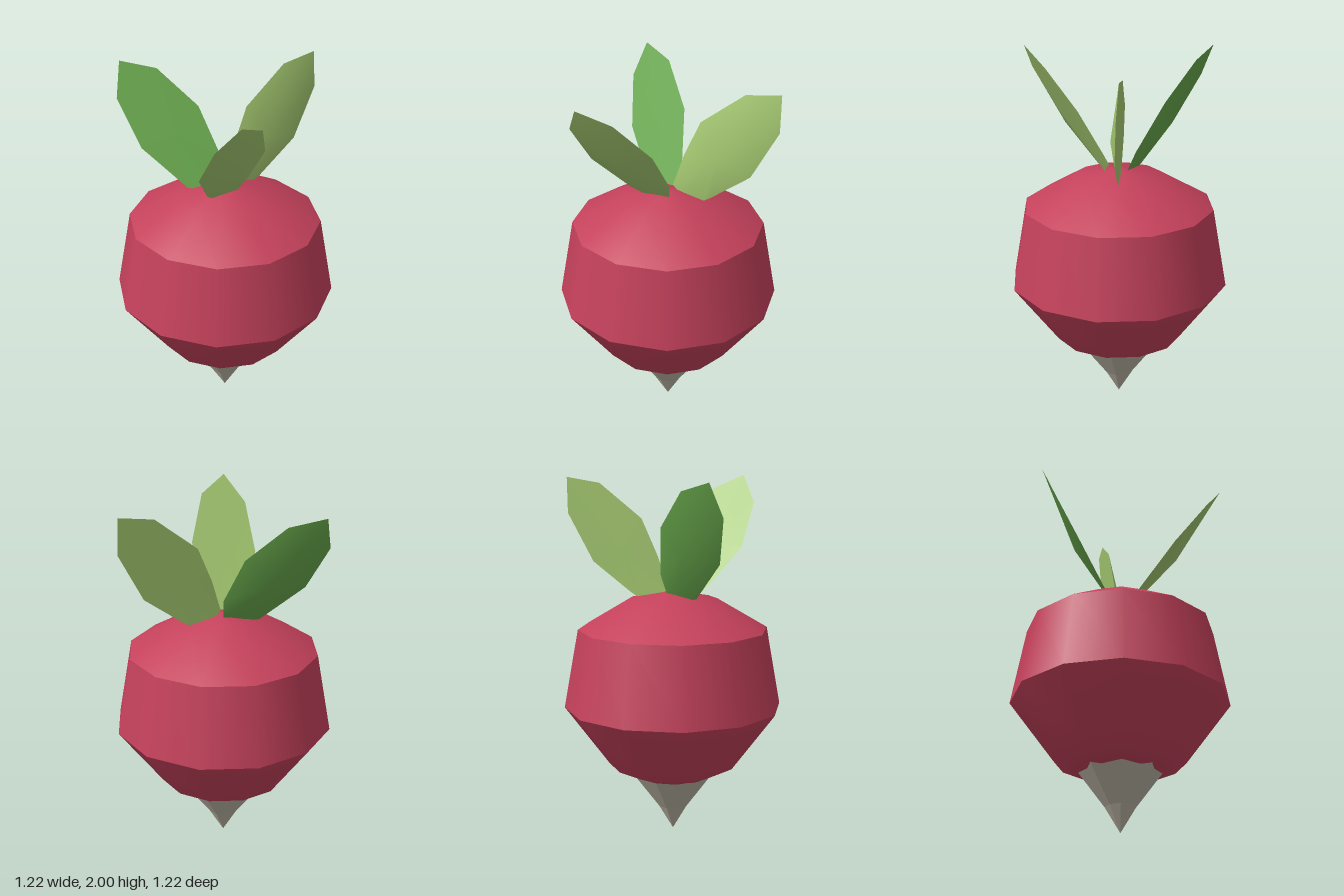
import * as THREE from 'three';

const mat = (name, color) => {
  const m = new THREE.MeshStandardMaterial({ color });
  m.name = name;
  return m;
};

const add = (group, name, geometry, material) => {
  const mesh = new THREE.Mesh(geometry, material);
  mesh.name = name;
  group.add(mesh);
};

const lathe = (profile, sides) =>
  new THREE.LatheGeometry(profile.map(([r, y]) => new THREE.Vector2(r, y)), sides);

// Leaf blade: flat inner face, outer face swelling to a raised centre.
// The outline runs counter-clockwise as seen from the outer side.
function leafGeometry(outline, swell) {
  const rim = outline.map((p) => new THREE.Vector3(...p));
  const n = rim.length;
  const centre = new THREE.Vector3();
  const normal = new THREE.Vector3();
  rim.forEach((p, i) => {
    centre.addScaledVector(p, 1 / n);
    normal.add(new THREE.Vector3().crossVectors(p, rim[(i + 1) % n]));
  });
  const peak = centre.clone().addScaledVector(normal.normalize(), swell);
  const points = [...rim, peak, ...rim, centre];
  const index = [];
  for (let i = 0; i < n; i++) {
    const j = (i + 1) % n;
    index.push(i, j, n);
    index.push(n + 1 + j, n + 1 + i, 2 * n + 1);
  }
  const g = new THREE.BufferGeometry().setFromPoints(points);
  g.setIndex(index);
  g.computeVertexNormals();
  return g;
}

export function createModel() {
  const model = new THREE.Group();
  model.name = 'rootVegetable';
  const red = mat('radish red', 0xc4415b);
  const pale = mat('pale root', 0xb8b2a2);
  const lightGreen = mat('light leaf green', 0xa4c870);
  const midGreen = mat('mid leaf green', 0x68a84c);

  // Bulb: three smooth bands with hard edges between them
  add(model, 'bulbBottom', lathe([[0, 0.24], [0.23, 0.333], [0.36, 0.395], [0.61, 0.73]], 12), red);
  add(model, 'bulbMiddle', lathe([[0.61, 0.73], [0.53, 1.17]], 12), red);
  add(model, 'bulbTop', lathe([[0.53, 1.17], [0.25, 1.335], [0, 1.385]], 12), red);

  // Faceted root tip
  const root = lathe([[0, 0], [0.083, 0.14], [0.27, 0.39]], 8).toNonIndexed();
  root.computeVertexNormals();
  add(model, 'rootTip', root, pale);

  // Leaves
  add(model, 'frontLeaf', leafGeometry([
    [-0.19, 2, 0.575], [-0.29, 1.85, 0.485], [-0.29, 1.61, 0.3], [-0.16, 1.4, 0.12],
    [-0.115, 1.36, 0.08], [0.045, 1.36, 0.06], [0.08, 1.46, 0.12], [0.085, 1.7, 0.3],
    [-0.03, 1.92, 0.485],
  ], 0.05), lightGreen);
  add(model, 'sideLeaf', leafGeometry([
    [0.595, 2, -0.12], [0.4, 1.97, -0.1], [0.16, 1.78, -0.065], [0.075, 1.58, -0.042],
    [0.02, 1.4, -0.02], [0.08, 1.335, -0.025], [0.2, 1.34, -0.035], [0.24, 1.365, -0.041],
    [0.46, 1.53, -0.07], [0.6, 1.8, -0.105],
  ], 0.05), lightGreen);
  add(model, 'backLeaf', leafGeometry([
    [-0.405, 2, -0.455], [-0.22, 1.95, -0.385], [-0.04, 1.75, -0.245], [0.03, 1.485, -0.1],
    [0.015, 1.37, -0.05], [-0.055, 1.33, -0.045], [-0.18, 1.355, -0.09], [-0.38, 1.57, -0.245],
    [-0.455, 1.82, -0.385],
  ], 0.05), midGreen);

  return model;
}
